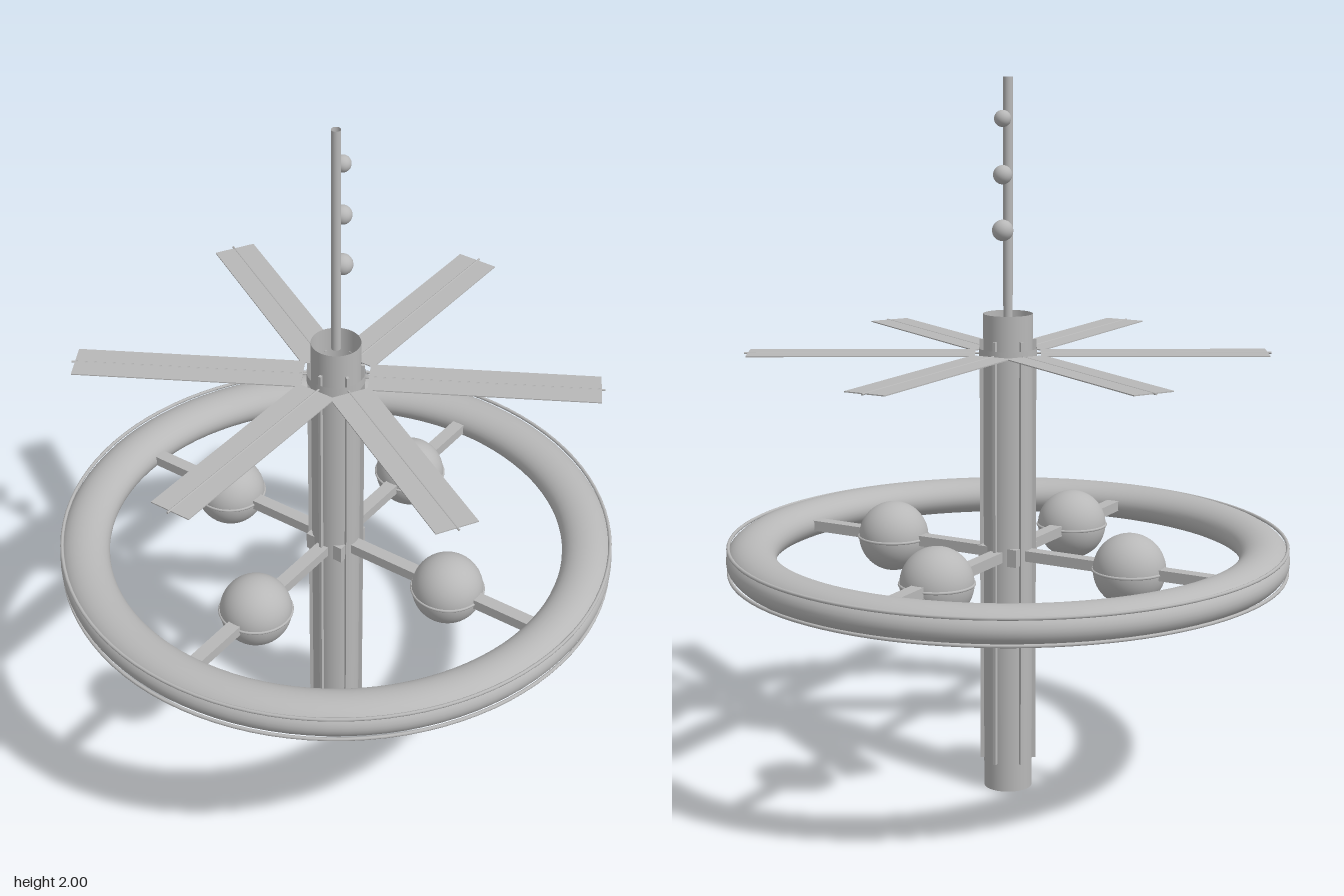
import * as THREE from 'three';

const grey = new THREE.MeshStandardMaterial({ color: 0xb8b8b8, side: THREE.DoubleSide });
grey.name = 'light grey';

export function createModel() {
  const model = new THREE.Group();
  model.name = 'spaceStation';

  function add(name, geometry, x = 0, y = 0, z = 0, parent = model) {
    const mesh = new THREE.Mesh(geometry, grey);
    mesh.name = name;
    mesh.position.set(x, y, z);
    parent.add(mesh);
    return mesh;
  }
  // Group turned about the vertical axis, for radial repeats
  function spoke(name, angle) {
    const group = new THREE.Group();
    group.name = name;
    group.rotation.y = angle;
    model.add(group);
    return group;
  }
  const flatRing = (radius, tube, sides = 8) =>
    new THREE.TorusGeometry(radius, tube, sides, 96).rotateX(Math.PI / 2);
  const openTube = (radius, height) =>
    new THREE.CylinderGeometry(radius, radius, height, 48, 1, true);

  // Central hull, an open tube, with a collar for the solar panels
  add('hull', openTube(0.068, 1.36), 0, 0.68);
  add('panelCollar', openTube(0.08, 0.025), 0, 1.252);

  // Mast with beacons
  add('mast', openTube(0.013, 0.66), 0, 1.67);
  [[1.59, 0.029], [1.74, 0.026], [1.89, 0.023]].forEach(([y, r]) =>
    add('beacon', new THREE.SphereGeometry(r, 24, 16), 0.029, y, 0));

  // Six solar panels on thin booms, and six ribs down the hull
  for (let i = 0; i < 6; i++) {
    const arm = spoke('panelArm', i * Math.PI / 3);
    add('solarPanel', new THREE.BoxGeometry(0.625, 0.003, 0.12), 0.4025, 1.25, 0, arm);
    add('panelBoom', new THREE.CylinderGeometry(0.003, 0.003, 0.655, 8).rotateZ(Math.PI / 2),
      0.3975, 1.25, 0, arm);
    add('hullRib', new THREE.BoxGeometry(0.012, 1.21, 0.008), 0.072, 0.685, 0, arm);
  }

  // Habitat ring, slightly flattened, with a rail along each outer edge
  const ringY = 0.685;
  add('habitatRing', flatRing(0.715, 0.07, 32).scale(1, 0.75, 1), 0, ringY);
  for (const side of [-1, 1])
    add('ringRail', flatRing(0.778, 0.005), 0, ringY + side * 0.035);

  // Hub with four struts, each carrying a round tank
  add('hub', new THREE.BoxGeometry(0.12, 0.05, 0.12), 0, ringY);
  for (let i = 0; i < 4; i++) {
    const arm = spoke('tankArm', i * Math.PI / 2);
    add('strut', new THREE.BoxGeometry(0.62, 0.03, 0.038), 0.36, ringY, 0, arm);
    add('tank', new THREE.SphereGeometry(0.1, 40, 28), 0.38, ringY, 0, arm);
    add('tankSeam', flatRing(0.1, 0.004), 0.38, ringY, 0, arm);
  }
  return model;
}
